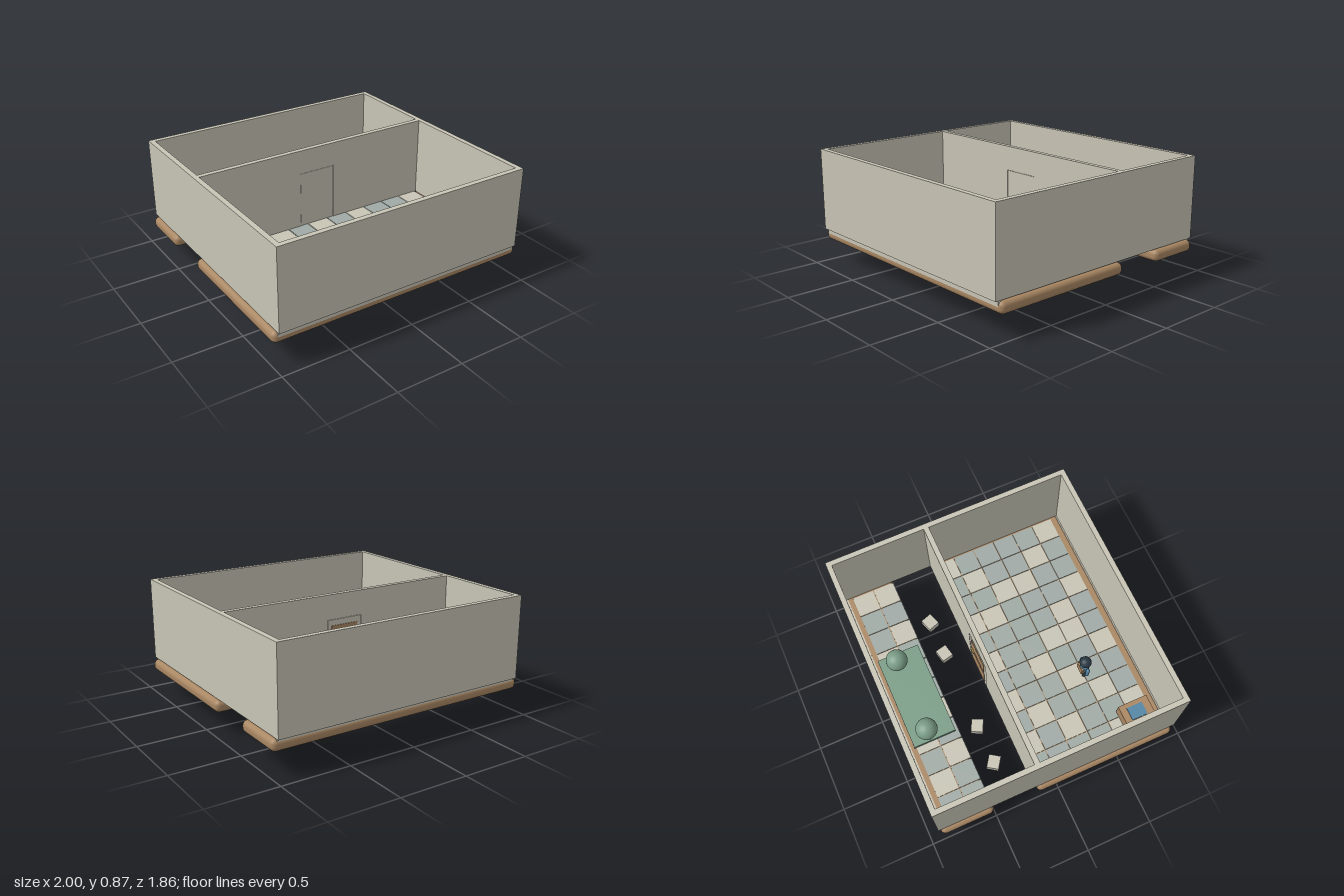
import * as THREE from 'three';
import { RoundedBoxGeometry } from 'three/addons/geometries/RoundedBoxGeometry.js';

const STONE = 0xc8c5b6, WOOD = 0xa98763, SLATE = 0xa0aaa5, GREEN = 0x7b9d87, DARK = 0x2c3a44, BLUE = 0x5586a5;

function add(parent, name, geometry, color, x = 0, y = 0, z = 0) {
  const mesh = new THREE.Mesh(geometry, new THREE.MeshStandardMaterial({ color }));
  mesh.name = name;
  mesh.position.set(x, y, z);
  parent.add(mesh);
  return mesh;
}

// Box given by its limits on each axis
function block(parent, name, color, [x0, x1], [y0, y1], [z0, z1]) {
  return add(parent, name, new THREE.BoxGeometry(x1 - x0, y1 - y0, z1 - z0), color,
    (x0 + x1) / 2, (y0 + y1) / 2, (z0 + z1) / 2);
}

function group(parent, name) {
  const g = new THREE.Group();
  g.name = name;
  parent.add(g);
  return g;
}

export function createModel() {
  const model = new THREE.Group();
  model.name = 'roofless two room house';

  // Rounded floor slabs with an open trench between them
  for (const [name, z0, z1] of [['frontFloorSlab', -0.17, 0.905], ['backFloorSlab', -0.91, -0.51]]) {
    add(model, name, new RoundedBoxGeometry(2, 0.085, z1 - z0, 4, 0.036), WOOD, 0, 0.2125, (z0 + z1) / 2);
  }

  // Floor tiles, 11 columns by 10 rows; two rows are left out over the trench
  const tiles = group(model, 'floorTiles');
  const rows = [
    'GLGLGGLLGGL', 'GGLGLGGGLGL', '', '',
    'GLGLGLGLGGL', 'GGLGGGGLGLG', 'GLGGLGGGLGG',
    'GGGLGLGGLGG', 'LGLGGLLGGLG', 'GLGGLGGLGGL',
  ];
  const step = 0.168;
  rows.forEach((row, r) => [...row].forEach((c, i) => {
    add(tiles, 'tile', new THREE.BoxGeometry(step - 0.006, 0.018, step - 0.006), c === 'G' ? SLATE : STONE,
      (i - 5) * step, 0.253, -0.005 + (r - 4.5) * step);
  }));

  // Outer walls with a slightly inset plinth below
  const walls = group(model, 'outerWalls');
  const wallY = [0.26, 0.865], plinthY = [0.22, 0.26];
  for (const s of [-1, 1]) {
    const span = (a, b) => (s > 0 ? [a, b] : [-b, -a]);
    block(walls, s > 0 ? 'frontWall' : 'backWall', STONE, [-0.97, 0.97], wallY, span(0.89, 0.928));
    block(walls, s > 0 ? 'leftWall' : 'rightWall', STONE, span(0.932, 0.97), wallY, [-0.89, 0.89]);
    block(walls, 'endPlinth', STONE, [-0.965, 0.965], plinthY, span(0.88, 0.905));
  }

  // Dividing wall with a doorway
  const divider = group(model, 'dividingWall');
  const dz = [-0.195, -0.157];
  block(divider, 'dividerRight', STONE, [-0.932, -0.145], wallY, dz);
  block(divider, 'dividerLeft', STONE, [0.14, 0.932], wallY, dz);
  block(divider, 'lintel', STONE, [-0.145, 0.14], [0.685, 0.865], dz);

  // Door with raised panels and a knob on the trench side
  const door = group(model, 'door');
  block(door, 'doorLeaf', STONE, [-0.142, 0.137], [0.235, 0.682], [-0.193, -0.16]);
  block(door, 'upperPanel', WOOD, [-0.11, 0.105], [0.49, 0.64], [-0.197, -0.192]);
  block(door, 'lowerPanel', WOOD, [-0.11, 0.105], [0.28, 0.45], [-0.197, -0.192]);
  block(door, 'doorHandle', 0xa8924f, [0.062, 0.108], [0.46, 0.478], [-0.207, -0.192]);

  // Stepping stones in the trench
  const stones = group(model, 'steppingStones');
  for (const [x, turn] of [[-0.64, -0.6], [-0.335, -0.44], [0.3, 0.22], [0.585, 0.33]]) {
    add(stones, 'stone', new THREE.BoxGeometry(0.1, 0.06, 0.09), STONE, x, 0.03, -0.36).rotation.y = turn;
  }

  // Planting bed with two round bushes
  const bed = group(model, 'plantingBed');
  block(bed, 'bedBase', GREEN, [-0.36, 0.36], [0.255, 0.29], [-0.855, -0.535]);
  for (const s of [-1, 1]) {
    add(bed, 'bush', new THREE.SphereGeometry(0.08, 32, 20), GREEN, s * 0.285, 0.355, -0.725);
  }

  // Desk with a blue inset top
  const desk = group(model, 'desk');
  block(desk, 'deskBody', WOOD, [-0.875, -0.71], [0.26, 0.38], [0.59, 0.815]);
  block(desk, 'deskInset', BLUE, [-0.84, -0.745], [0.38, 0.387], [0.64, 0.76]);

  // Standing figure
  const figure = group(model, 'figure');
  figure.position.set(-0.34, 0, 0.5);
  add(figure, 'torso', new THREE.CapsuleGeometry(0.036, 0.07, 6, 16), BLUE, 0, 0.405, 0);
  add(figure, 'head', new THREE.SphereGeometry(0.043, 24, 16), DARK, 0, 0.497, 0);
  block(figure, 'backpack', WOOD, [-0.035, 0.035], [0.37, 0.44], [-0.042, -0.02]);
  for (const s of [-1, 1]) {
    add(figure, 'arm', new THREE.CapsuleGeometry(0.014, 0.08, 4, 12), BLUE, s * 0.05, 0.4, 0);
    add(figure, 'leg', new THREE.CylinderGeometry(0.015, 0.015, 0.1, 12), DARK, s * 0.018, 0.31, 0);
  }

  return model;
}
